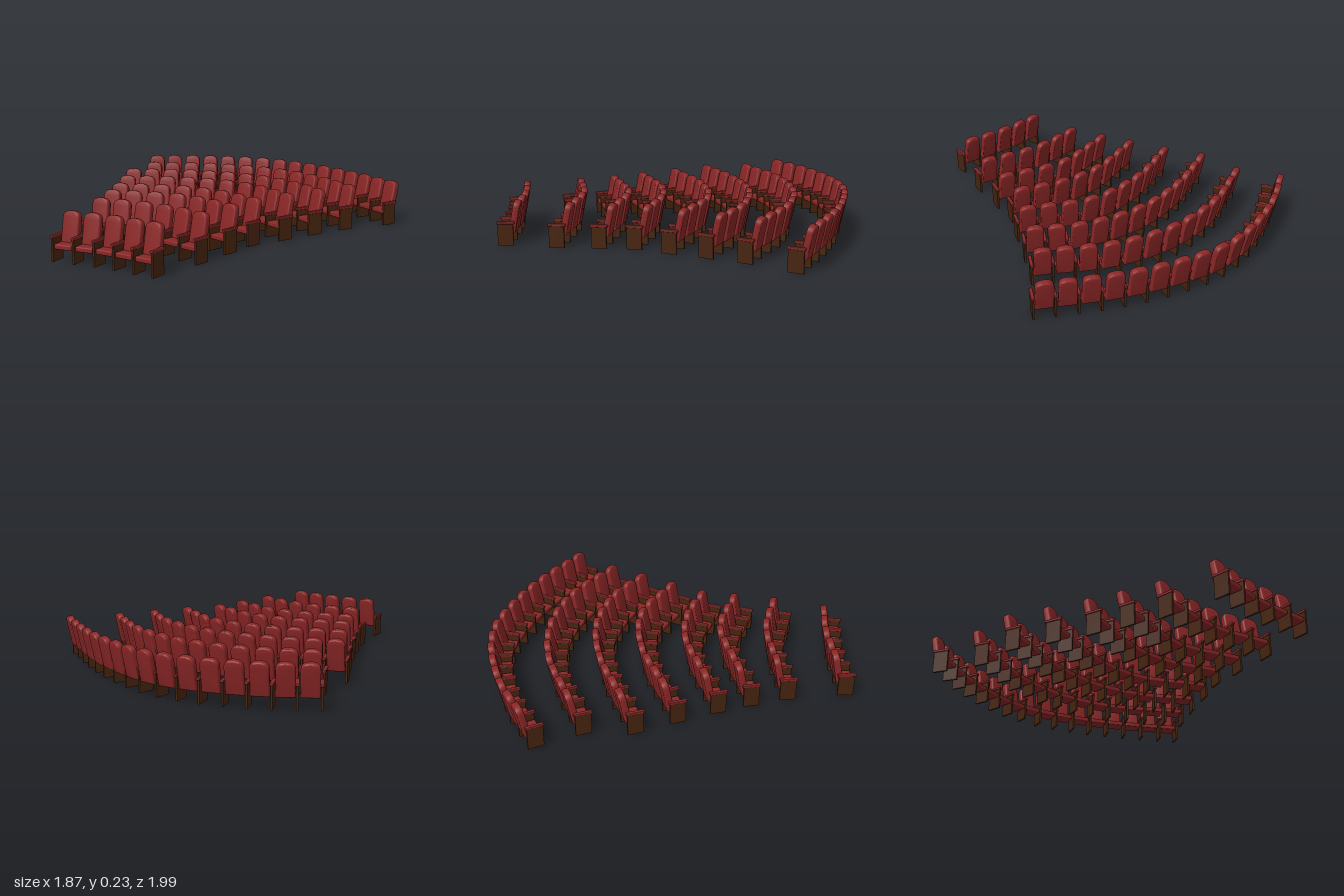
import * as THREE from 'three';
import { toCreasedNormals } from 'three/addons/utils/BufferGeometryUtils.js';
import { RoundedBoxGeometry } from 'three/addons/geometries/RoundedBoxGeometry.js';

const red = new THREE.MeshStandardMaterial({ color: 0x8a2626 });
const brown = new THREE.MeshStandardMaterial({ color: 0x46240f });

// Each row: number of seats and a few [x, z] points along its arc
const ROWS = [
  [16, [[-0.36, -0.94], [-0.125, -0.915], [0.19, -0.815], [0.385, -0.695], [0.6, -0.44], [0.725, -0.23], [0.86, 0.07]]],
  [13, [[-0.395, -0.69], [-0.06, -0.61], [0.235, -0.44], [0.45, -0.19], [0.595, 0.15]]],
  [12, [[-0.53, -0.475], [-0.2, -0.39], [0.1, -0.23], [0.315, 0.02], [0.405, 0.24]]],
  [10, [[-0.57, -0.25], [-0.23, -0.155], [0.05, 0.03], [0.22, 0.335]]],
  [8, [[-0.615, -0.03], [-0.29, 0.085], [-0.105, 0.23], [0.035, 0.425]]],
  [7, [[-0.66, 0.15], [-0.335, 0.285], [-0.245, 0.365], [-0.1, 0.555]]],
  [6, [[-0.72, 0.35], [-0.51, 0.465], [-0.415, 0.54], [-0.26, 0.715]]],
  [5, [[-0.855, 0.63], [-0.66, 0.75], [-0.48, 0.9]]],
];
const ARM_X = 0.054;

// Padded backrest: rounded top, soft edges, leaning back
function backGeometry() {
  const b = 0.008, w = 0.046 - b, h = 0.172 - 2 * b, r = 0.024;
  const s = new THREE.Shape();
  s.moveTo(-w, 0);
  s.lineTo(w, 0);
  s.lineTo(w, h - r - 0.004);
  s.quadraticCurveTo(w, h - 0.004, w - r, h - 0.001);
  s.quadraticCurveTo(0, h + 0.002, -w + r, h - 0.001);
  s.quadraticCurveTo(-w, h - 0.004, -w, h - r - 0.004);
  s.closePath();
  const g = new THREE.ExtrudeGeometry(s, {
    depth: 0.036 - 2 * b, bevelThickness: b, bevelSize: b, bevelSegments: 3, curveSegments: 5,
  });
  g.translate(0, b, b);
  g.rotateX(-0.2);
  g.translate(0, 0.06, -0.031);
  return toCreasedNormals(g, 0.7);
}

const backGeo = backGeometry();
const cushionGeo = new RoundedBoxGeometry(0.094, 0.026, 0.082, 2, 0.007);
const armGeo = new RoundedBoxGeometry(0.019, 0.014, 0.095, 1, 0.004);
const panelGeo = new THREE.BoxGeometry(0.011, 0.117, 0.082);

function add(parent, name, geo, mat, x, y, z) {
  const m = new THREE.Mesh(geo, mat);
  m.name = name;
  m.position.set(x, y, z);
  parent.add(m);
}

// Side panel standing on the floor with a padded armrest on top
function addArm(seat, x) {
  add(seat, 'sidePanel', panelGeo, brown, x, 0.0585, 0.017);
  add(seat, 'armrest', armGeo, red, x, 0.122, 0.016);
}

function makeSeat(isLast) {
  const seat = new THREE.Group();
  seat.name = 'seat';
  add(seat, 'backrest', backGeo, red, 0, 0, 0);
  add(seat, 'cushion', cushionGeo, red, 0, 0.074, 0.013);
  addArm(seat, -ARM_X);
  if (isLast) addArm(seat, ARM_X);
  return seat;
}

export function createModel() {
  const model = new THREE.Group();
  model.name = 'auditoriumSeating';
  ROWS.forEach(([count, pts], i) => {
    const row = new THREE.Group();
    row.name = `row${i + 1}`;
    const path = new THREE.CatmullRomCurve3(pts.map(([x, z]) => new THREE.Vector3(x, 0, z)));
    // Seats evenly spaced along the arc, each turned to follow it
    for (let k = 0; k < count; k++) {
      const u = k / (count - 1);
      const t = path.getTangentAt(u);
      const seat = makeSeat(k === count - 1);
      seat.position.copy(path.getPointAt(u));
      seat.rotation.y = Math.atan2(-t.z, t.x);
      row.add(seat);
    }
    model.add(row);
  });
  return model;
}
